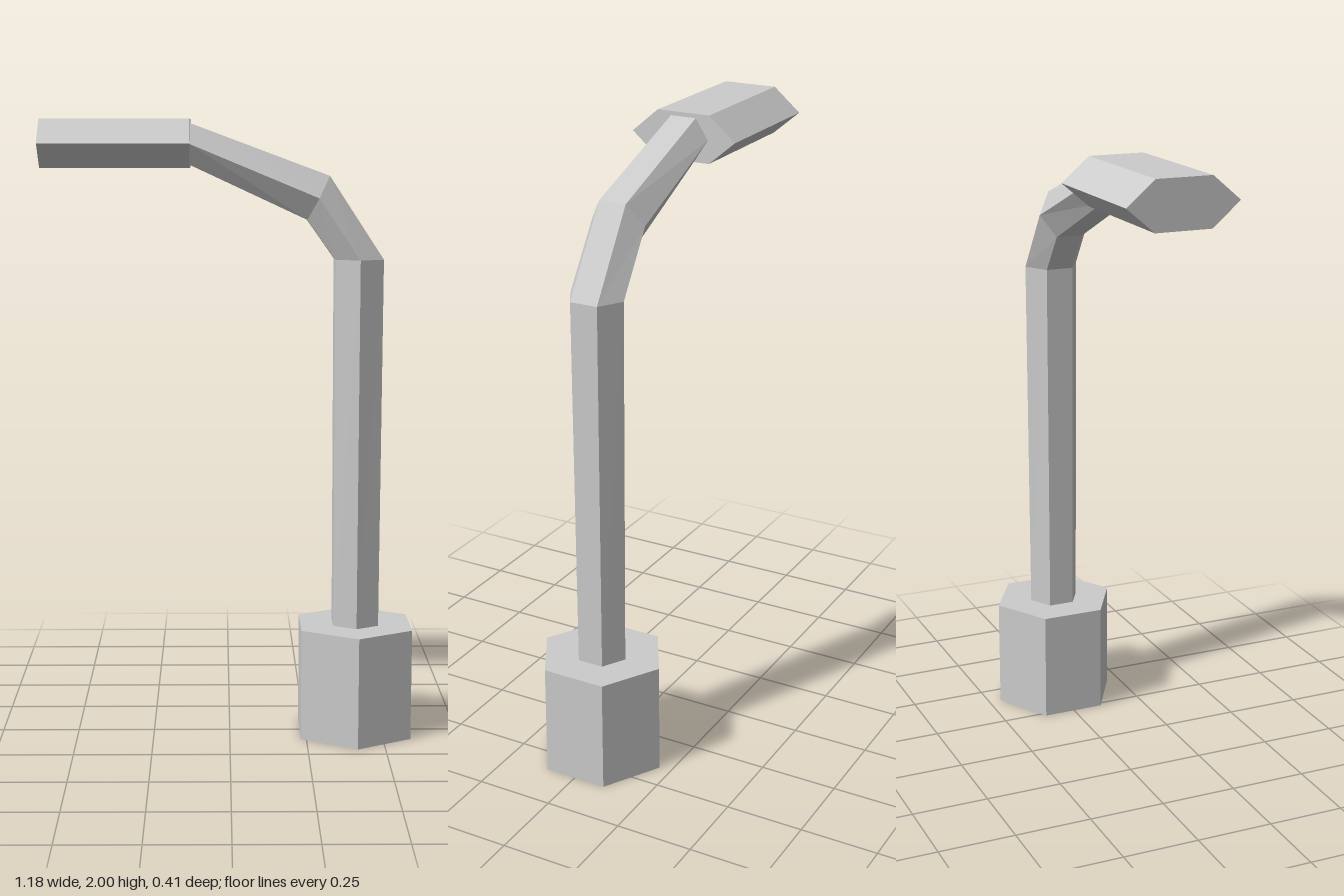
import * as THREE from 'three';

const SIDES = 6;
const material = new THREE.MeshStandardMaterial({ color: 0xcccccc, flatShading: true });

// Six-sided tube lofted through rings, each given as
// [outerX, outerY, innerX, innerY, half width in z], closed at both ends.
function hexLoft(name, rings) {
  const positions = [];
  const index = [];
  for (const [ox, oy, ix, iy, w] of rings) {
    for (let k = 0; k < SIDES; k++) {
      const a = (k / SIDES) * Math.PI * 2;
      const s = Math.sin(a) / Math.sin(Math.PI / 3) / 2;
      positions.push((ox + ix) / 2 + (ox - ix) * s, (oy + iy) / 2 + (oy - iy) * s, w * Math.cos(a));
    }
  }
  for (let j = 0; j < rings.length - 1; j++) {
    for (let k = 0; k < SIDES; k++) {
      const n = (k + 1) % SIDES;
      const a = j * SIDES + k, b = j * SIDES + n;
      index.push(a, b, b + SIDES, a, b + SIDES, a + SIDES);
    }
  }
  const last = (rings.length - 1) * SIDES;
  for (let k = 1; k < SIDES - 1; k++) {
    index.push(0, k + 1, k);
    index.push(last, last + k, last + k + 1);
  }
  const indexed = new THREE.BufferGeometry();
  indexed.setAttribute('position', new THREE.Float32BufferAttribute(positions, 3));
  indexed.setIndex(index);
  const geometry = indexed.toNonIndexed();
  geometry.computeVertexNormals();
  const mesh = new THREE.Mesh(geometry, material);
  mesh.name = name;
  mesh.position.z = -0.002;
  return mesh;
}

export function createModel() {
  const group = new THREE.Group();
  group.name = 'streetLamp';

  // Hexagonal foot
  const base = new THREE.Mesh(new THREE.CylinderGeometry(0.207, 0.207, 0.365, SIDES), material);
  base.name = 'base';
  base.position.set(0.411, 0.1825, -0.002);
  group.add(base);

  // Upright post bending over into the arm
  group.add(hexLoft('post', [
    [0.485, 0.363, 0.338, 0.363, 0.085],
    [0.488, 1.56, 0.334, 1.56, 0.091],
    [0.315, 1.823, 0.245, 1.685, 0.09],
    [-0.126, 1.987, -0.126, 1.857, 0.086],
  ]));

  // Flattened lamp head
  group.add(hexLoft('lampHead', [
    [-0.125, 2, -0.125, 1.848, 0.179],
    [-0.594, 2, -0.594, 1.848, 0.179],
  ]));

  return group;
}
